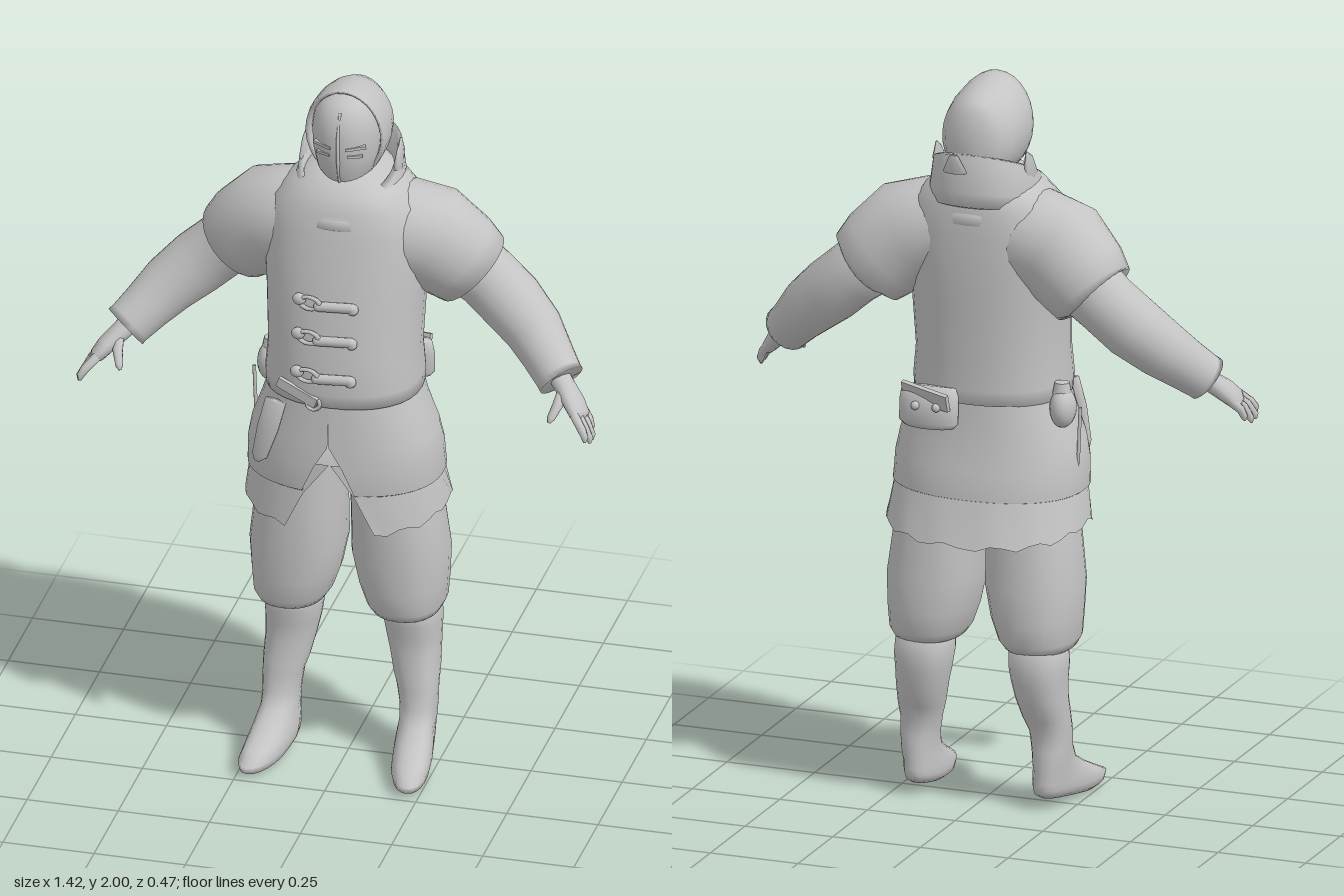
import * as THREE from 'three';

const V = (x, y, z) => new THREE.Vector3(x, y, z);
const cloth = new THREE.MeshStandardMaterial({ color: 0xc4c4c4, side: THREE.DoubleSide });
cloth.name = 'plain grey';

// Skin a list of rings (equal point counts); closed rings wrap round, caps close the ends
function loft(rings, { closed = true, capStart = false, capEnd = false } = {}) {
  const n = rings[0].length, pos = [], idx = [];
  rings.forEach(r => r.forEach(p => pos.push(p.x, p.y, p.z)));
  for (let i = 0; i < rings.length - 1; i++) {
    for (let j = 0; j < (closed ? n : n - 1); j++) {
      const a = i * n + j, b = i * n + (j + 1) % n;
      idx.push(a, b, a + n, b, b + n, a + n);
    }
  }
  const cap = (row, flip) => {
    const c = rings[row].reduce((s, p) => s.add(p), V(0, 0, 0)).divideScalar(n);
    const k = pos.length / 3;
    pos.push(c.x, c.y, c.z);
    for (let j = 0; j < n; j++) {
      const a = row * n + j, b = row * n + (j + 1) % n;
      flip ? idx.push(b, a, k) : idx.push(a, b, k);
    }
  };
  if (capStart) cap(0, true);
  if (capEnd) cap(rings.length - 1, false);
  const g = new THREE.BufferGeometry();
  g.setAttribute('position', new THREE.Float32BufferAttribute(pos, 3));
  g.setIndex(idx);
  g.computeVertexNormals();
  return g;
}

// Level ring: height, half width, front z, back z; gap opens it at the front, tilt leans it
function level(y, w, zf, zb, { cx = 0, gap = null, tilt = 0, n = 32, p = 0.88 } = {}) {
  const pts = [], open = gap !== null;
  const g = open ? Math.asin(Math.min(1, gap / w)) : 0;
  for (let j = 0; j < n; j++) {
    const t = open ? g + (2 * Math.PI - 2 * g) * j / (n - 1) : 2 * Math.PI * j / n;
    const s = Math.sin(t), c = Math.cos(t);
    const z = (zf + zb) / 2 + (zf - zb) / 2 * Math.sign(c) * Math.abs(c) ** p;
    pts.push(V(cx + w * Math.sign(s) * Math.abs(s) ** p, y + tilt * z, z));
  }
  return pts;
}

// Limb along a path of [x, y, z, depth radius, height radius]
function limb(path, n = 18, opts = { capStart: true, capEnd: true }) {
  const c = path.map(p => V(p[0], p[1], p[2]));
  return loft(path.map((p, i) => {
    const T = c[Math.min(i + 1, c.length - 1)].clone().sub(c[Math.max(i - 1, 0)]).normalize();
    const U = V(0, 0, 1).addScaledVector(T, -T.z).normalize();
    const W = T.clone().cross(U);
    return Array.from({ length: n }, (_, j) => {
      const t = 2 * Math.PI * j / n;
      return c[i].clone().addScaledVector(U, p[3] * Math.cos(t)).addScaledVector(W, p[4] * Math.sin(t));
    });
  }), opts);
}

function mirrored(geo) {
  const g = geo.clone().scale(-1, 1, 1), ix = g.index.array;
  for (let i = 0; i < ix.length; i += 3) [ix[i], ix[i + 1]] = [ix[i + 1], ix[i]];
  g.computeVertexNormals();
  return g;
}

export function createModel() {
  const model = new THREE.Group();
  const add = (name, geo, pos = [0, 0, 0], rot = [0, 0, 0], scale = [1, 1, 1]) => {
    const m = new THREE.Mesh(geo, cloth);
    m.name = name;
    m.position.set(...pos);
    m.rotation.set(...rot);
    m.scale.set(...scale);
    model.add(m);
  };
  const pair = (name, geo) => {
    add('left' + name, geo);
    add('right' + name, mirrored(geo));
  };

  // Padded jacket, bloused over the waist
  add('jacket', loft([
    [1.14, 0.195, 0.2, -0.145], [1.13, 0.21, 0.215, -0.155], [1.17, 0.212, 0.222, -0.16],
    [1.25, 0.205, 0.215, -0.155], [1.4, 0.212, 0.2, -0.165], [1.5, 0.22, 0.182, -0.17],
    [1.6, 0.22, 0.165, -0.172], [1.67, 0.2, 0.15, -0.168], [1.72, 0.15, 0.13, -0.16],
    [1.76, 0.09, 0.08, -0.13]].map(r => level(...r)), { capEnd: true }));

  // Jacket skirt with a front slit and a turned hem
  add('jacketSkirt', loft([
    [0.9, 0.25, 0.205, -0.175, 0.055], [0.87, 0.258, 0.213, -0.183, 0.06], [0.875, 0.265, 0.22, -0.19, 0.06],
    [0.95, 0.262, 0.22, -0.175, 0.03], [1.01, 0.25, 0.216, -0.162, 0.001], [1.09, 0.22, 0.21, -0.152, 0],
    [1.16, 0.2, 0.205, -0.148, 0]].map(([y, w, f, b, gap]) => level(y, w, f, b, { gap, n: 41 })), { closed: false }));

  // Ragged under-tunic
  const under = [[0.79, 0.275, 0.218, -0.228, 0.11], [0.86, 0.262, 0.21, -0.19, 0.06], [0.95, 0.24, 0.2, -0.165, 0.001]]
    .map(([y, w, f, b, gap]) => level(y, w, f, b, { gap, n: 41 }));
  under[0].forEach((p, j) => { p.y -= 0.16 * Math.abs(p.z) + 0.008 * Math.sin(j * 1.9); });
  add('underTunic', loft(under, { closed: false }));

  // Baggy trousers
  pair('Trouser', loft([
    [0.46, 0.157, 0.075, 0.07, -0.12], [0.445, 0.157, 0.09, 0.09, -0.14], [0.47, 0.155, 0.105, 0.107, -0.158],
    [0.53, 0.147, 0.118, 0.115, -0.166], [0.62, 0.14, 0.13, 0.122, -0.165], [0.75, 0.132, 0.122, 0.126, -0.152],
    [0.9, 0.118, 0.112, 0.12, -0.14], [1.0, 0.1, 0.1, 0.1, -0.12]]
    .map(([y, cx, w, f, b]) => level(y, w, f, b, { cx, n: 24 })), { capStart: true, capEnd: true }));

  // Soft boots: foot and wrinkled shaft in one, toes turned out and heel raised
  const boot = loft([
    [0, 0.183, 0.036, 0.2, -0.07], [0.012, 0.183, 0.05, 0.232, -0.09], [0.032, 0.183, 0.054, 0.24, -0.096],
    [0.055, 0.184, 0.053, 0.19, -0.096], [0.085, 0.185, 0.05, 0.125, -0.094], [0.12, 0.187, 0.048, 0.065, -0.094],
    [0.16, 0.187, 0.05, 0.042, -0.09], [0.21, 0.184, 0.055, 0.036, -0.085], [0.25, 0.178, 0.062, 0.03, -0.105],
    [0.31, 0.17, 0.068, 0.022, -0.13], [0.36, 0.165, 0.074, 0.024, -0.138], [0.4, 0.163, 0.078, 0.033, -0.146],
    [0.48, 0.16, 0.076, 0.038, -0.138]]
    .map(([y, cx, w, f, b]) => level(y, w, f, b, { cx, n: 24 }).map(p => {
      p.x += Math.max(0, p.z) * 0.15;
      p.y += Math.max(0, 0.13 - p.z) * 0.15 * Math.max(0, 1 - p.y / 0.12);
      return p;
    })), { capStart: true, capEnd: true });
  pair('Boot', boot);

  // Short outer sleeves, long inner sleeves and cuffs
  pair('ShoulderSleeve', limb([
    [0.06, 1.575, -0.02, 0.125, 0.13], [0.13, 1.577, -0.02, 0.137, 0.135], [0.22, 1.55, -0.035, 0.132, 0.143],
    [0.285, 1.49, -0.055, 0.118, 0.133], [0.322, 1.452, -0.068, 0.108, 0.12], [0.324, 1.45, -0.068, 0.085, 0.09]], 24));
  pair('Sleeve', limb([
    [0.26, 1.51, -0.06, 0.09, 0.1], [0.36, 1.43, -0.07, 0.086, 0.088], [0.43, 1.37, -0.06, 0.088, 0.088],
    [0.5, 1.31, -0.03, 0.08, 0.08], [0.55, 1.26, 0.012, 0.07, 0.07], [0.588, 1.222, 0.045, 0.063, 0.065],
    [0.598, 1.212, 0.053, 0.061, 0.066], [0.592, 1.218, 0.048, 0.048, 0.05]], 20));
  // Hands
  pair('Palm', limb([
    [0.575, 1.235, 0.035, 0.032, 0.03], [0.61, 1.2, 0.062, 0.032, 0.027], [0.64, 1.172, 0.088, 0.041, 0.025],
    [0.662, 1.146, 0.108, 0.043, 0.02], [0.67, 1.136, 0.113, 0.03, 0.012]], 14));
  [[0.145, 0.692, 1.098, 0.172], [0.122, 0.7, 1.085, 0.148], [0.099, 0.699, 1.082, 0.12], [0.077, 0.69, 1.094, 0.094]]
    .forEach(([z, tx, ty, tz], i) => pair('Finger' + (i + 1), limb([
      [0.655, 1.155, z - 0.01, 0.012, 0.013], [0.682, 1.126, (z + tz) / 2, 0.012, 0.012],
      [tx, ty + 0.012, tz - 0.004, 0.01, 0.01], [tx, ty, tz, 0.004, 0.004]], 8)));
  pair('Thumb', limb([[0.61, 1.195, 0.08, 0.016, 0.016], [0.603, 1.168, 0.116, 0.015, 0.014],
    [0.592, 1.142, 0.142, 0.011, 0.011], [0.588, 1.132, 0.15, 0.004, 0.004]], 8));

  // Slanted standing collar with an inner lining, over a flat neck roll
  add('collar', loft([
    [1.655, 0.12, 0.13, -0.15, -0.12], [1.66, 0.146, 0.156, -0.178, -0.15], [1.69, 0.148, 0.155, -0.182, -0.2],
    [1.755, 0.136, 0.134, -0.172, -0.42], [1.762, 0.122, 0.118, -0.155, -0.42], [1.71, 0.11, 0.1, -0.14, -0.3]]
    .map(([y, w, f, b, tilt]) => level(y, w, f, b, { tilt }))));
  add('neckRoll', loft([[1.62, 0.13, 0.145, -0.16], [1.635, 0.142, 0.162, -0.172], [1.66, 0.14, 0.155, -0.172],
    [1.69, 0.11, 0.125, -0.15]].map(r => level(...r))));
  pair('CollarPoint', limb([[0.128, 1.74, -0.03, 0.045, 0.012], [0.13, 1.79, -0.05, 0.03, 0.008],
    [0.128, 1.82, -0.06, 0.004, 0.003]], 8));
  add('collarBackPeak', limb([[0.03, 1.78, -0.175, 0.012, 0.035], [0.03, 1.83, -0.185, 0.004, 0.012]], 8));

  // Masked head
  add('mask', loft([
    [1.66, 0.06, 0.05, -0.08], [1.735, 0.055, 0.088, -0.08], [1.77, 0.078, 0.106, -0.09], [1.82, 0.09, 0.112, -0.1],
    [1.88, 0.094, 0.114, -0.1], [1.93, 0.087, 0.104, -0.1], [1.965, 0.066, 0.078, -0.08], [1.983, 0.03, 0.04, -0.05]]
    .map(r => level(...r, { n: 28, p: 0.95 })), { capEnd: true }));
  add('maskRidge', limb([[0, 1.75, 0.094, 0.008, 0.004], [0, 1.82, 0.112, 0.009, 0.005],
    [0, 1.88, 0.114, 0.008, 0.005], [0, 1.95, 0.09, 0.006, 0.004]], 8));
  for (const s of [-1, 1]) {
    add('brow', new THREE.BoxGeometry(0.055, 0.008, 0.014), [s * 0.045, 1.856, 0.098], [0, s * 0.38, s * 0.1]);
    add('eyeRim', new THREE.BoxGeometry(0.042, 0.007, 0.01), [s * 0.043, 1.832, 0.1], [0, s * 0.38, 0]);
  }
  // Hood built as upright hoops from the face opening to the back of the head
  add('hood', loft([[0.01, 0.09, 0.115, 1.862], [0.04, 0.098, 0.128, 1.862], [0.045, 0.107, 0.137, 1.863],
    [0.02, 0.11, 0.137, 1.863], [-0.04, 0.109, 0.132, 1.86], [-0.09, 0.1, 0.122, 1.857],
    [-0.125, 0.078, 0.103, 1.86], [-0.145, 0.045, 0.065, 1.87]]
    .map(([z, rx, ry, y]) => Array.from({ length: 28 }, (_, j) => {
      const t = 2 * Math.PI * j / 28;
      return V(rx * Math.sin(t), y + ry * Math.cos(t), z + 0.1 * (ry * Math.cos(t)));
    })), { capEnd: true }));

  // Toggle fastenings down the chest
  [[1.425, 0.198], [1.328, 0.21], [1.22, 0.222]].forEach(([y, z]) => {
    add('toggleBar', new THREE.CapsuleGeometry(0.014, 0.09, 4, 10), [0.015, y, z], [0, 0, Math.PI / 2 + 0.06]);
    add('toggleLoop', new THREE.TorusGeometry(0.022, 0.007, 6, 14), [-0.055, y + 0.004, z], [0, -0.15, 0], [1.3, 0.8, 1]);
    add('toggleKnob', new THREE.SphereGeometry(0.017, 12, 8), [-0.085, y + 0.01, z - 0.006], [0, 0, 0], [1.1, 1, 0.8]);
    add('toggleEnd', new THREE.SphereGeometry(0.016, 12, 8), [0.062, y - 0.003, z - 0.004]);
  });
  add('beltTail', new THREE.BoxGeometry(0.12, 0.028, 0.012), [-0.085, 1.165, 0.212], [0, -0.2, -0.35]);
  add('buckle', new THREE.TorusGeometry(0.018, 0.006, 6, 12), [-0.04, 1.14, 0.218]);

  // Belt gear: sheathed knife, side pouch, thin rod and rear pouch
  add('sheath', limb([[-0.15, 1.12, 0.19, 0.014, 0.03], [-0.17, 1.04, 0.195, 0.014, 0.03],
    [-0.195, 0.95, 0.185, 0.012, 0.022], [-0.205, 0.93, 0.182, 0.004, 0.008]], 10));
  add('sidePouch', new THREE.SphereGeometry(0.05, 16, 12), [-0.225, 1.115, -0.04], [0, 0, 0], [0.7, 1.1, 0.9]);
  add('sidePouchNeck', new THREE.CylinderGeometry(0.02, 0.026, 0.03, 12), [-0.222, 1.17, -0.04]);
  add('rod', new THREE.CylinderGeometry(0.005, 0.005, 0.2, 8), [-0.258, 1.01, -0.01], [0, 0, 0.04]);
  add('rearPouch', limb([[0.11, 1.06, -0.16, 0.02, 0.07], [0.11, 1.075, -0.163, 0.036, 0.084],
    [0.11, 1.13, -0.16, 0.036, 0.084], [0.11, 1.17, -0.15, 0.022, 0.08]], 20));
  add('rearPouchFlap', new THREE.BoxGeometry(0.15, 0.05, 0.012), [0.11, 1.15, -0.185], [-0.35, -0.3, 0]);
  for (const x of [0.075, 0.135])
    add('pouchButton', new THREE.SphereGeometry(0.012, 10, 8), [x, 1.125, -0.198]);

  return model;
}
